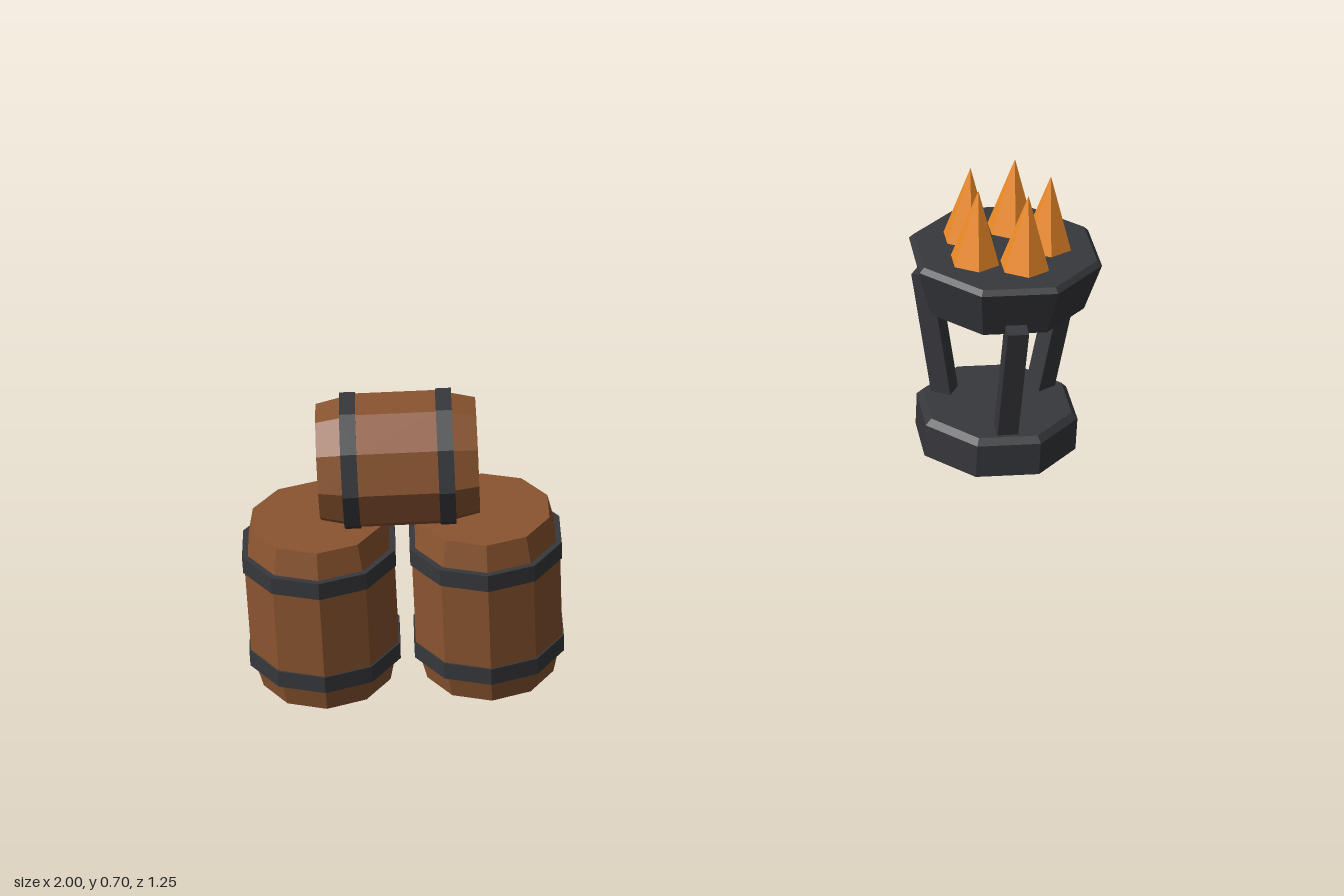
import * as THREE from 'three';

const paint = (color) => new THREE.MeshStandardMaterial({ color, flatShading: true });

// Faceted solid of revolution from [radius, height] pairs, bottom to top
function turned(name, profile, sides, material, turn = 0) {
  const points = profile.map(([r, y]) => new THREE.Vector2(r, y));
  const mesh = new THREE.Mesh(new THREE.LatheGeometry(points, sides, turn), material);
  mesh.name = name;
  return mesh;
}

// Ten-sided barrel, 0.4 tall, centred on its own middle
function makeBarrel(name, wood, iron) {
  const barrel = new THREE.Group();
  barrel.name = name;
  barrel.add(turned('staves', [
    [0, -0.2], [0.145, -0.2], [0.167, -0.1], [0.167, 0.1], [0.145, 0.2], [0, 0.2],
  ], 10, wood));
  for (const y of [-0.12, 0.12]) {
    const hoop = new THREE.Mesh(new THREE.CylinderGeometry(0.171, 0.171, 0.04, 10), iron);
    hoop.name = 'hoop';
    hoop.position.y = y;
    barrel.add(hoop);
  }
  return barrel;
}

function makeBrazier(iron, fire) {
  const brazier = new THREE.Group();
  brazier.name = 'brazier';

  // Octagonal foot and bowl with chamfered top edges
  brazier.add(turned('foot', [
    [0, 0], [0.2, 0], [0.2, 0.085], [0.185, 0.1], [0, 0.1],
  ], 8, iron, Math.PI / 8));
  brazier.add(turned('bowl', [
    [0, 0.39], [0.198, 0.39], [0.234, 0.51], [0.222, 0.522], [0, 0.522],
  ], 8, iron, Math.PI / 8));

  // Three legs leaning outwards
  for (let i = 0; i < 3; i++) {
    const spoke = new THREE.Group();
    spoke.name = 'legSpoke';
    spoke.rotation.y = (i * Math.PI * 2) / 3;
    const leg = new THREE.Mesh(new THREE.BoxGeometry(0.05, 0.325, 0.05), iron);
    leg.name = 'leg';
    leg.position.set(0, 0.255, 0.168);
    leg.rotation.x = 0.2;
    spoke.add(leg);
    brazier.add(spoke);
  }

  // Ring of five flames
  for (let i = 0; i < 5; i++) {
    const a = (i * Math.PI * 2) / 5;
    const flame = new THREE.Mesh(new THREE.ConeGeometry(0.063, 0.19, 6), fire);
    flame.name = 'flame';
    flame.position.set(0.1 * Math.cos(a), 0.61, 0.1 * Math.sin(a));
    brazier.add(flame);
  }
  return brazier;
}

export function createModel() {
  const wood = paint(0x8b5530);
  const iron = paint(0x37383c);
  const fire = paint(0xf08c28);
  const model = new THREE.Group();
  model.name = 'barrelsAndBrazier';

  // Two standing barrels
  for (const [name, x] of [['rightBarrel', -0.838], ['leftBarrel', -0.482]]) {
    const barrel = makeBarrel(name, wood, iron);
    barrel.position.set(x, 0.202, 0.453);
    model.add(barrel);
  }

  // Smaller barrel lying across them
  const lying = makeBarrel('lyingBarrel', wood, iron);
  lying.scale.set(0.87, 0.84, 0.87);
  lying.rotation.z = Math.PI / 2;
  lying.position.set(-0.66, 0.542, 0.459);
  model.add(lying);

  const brazier = makeBrazier(iron, fire);
  brazier.position.set(0.782, 0, -0.407);
  model.add(brazier);
  return model;
}
